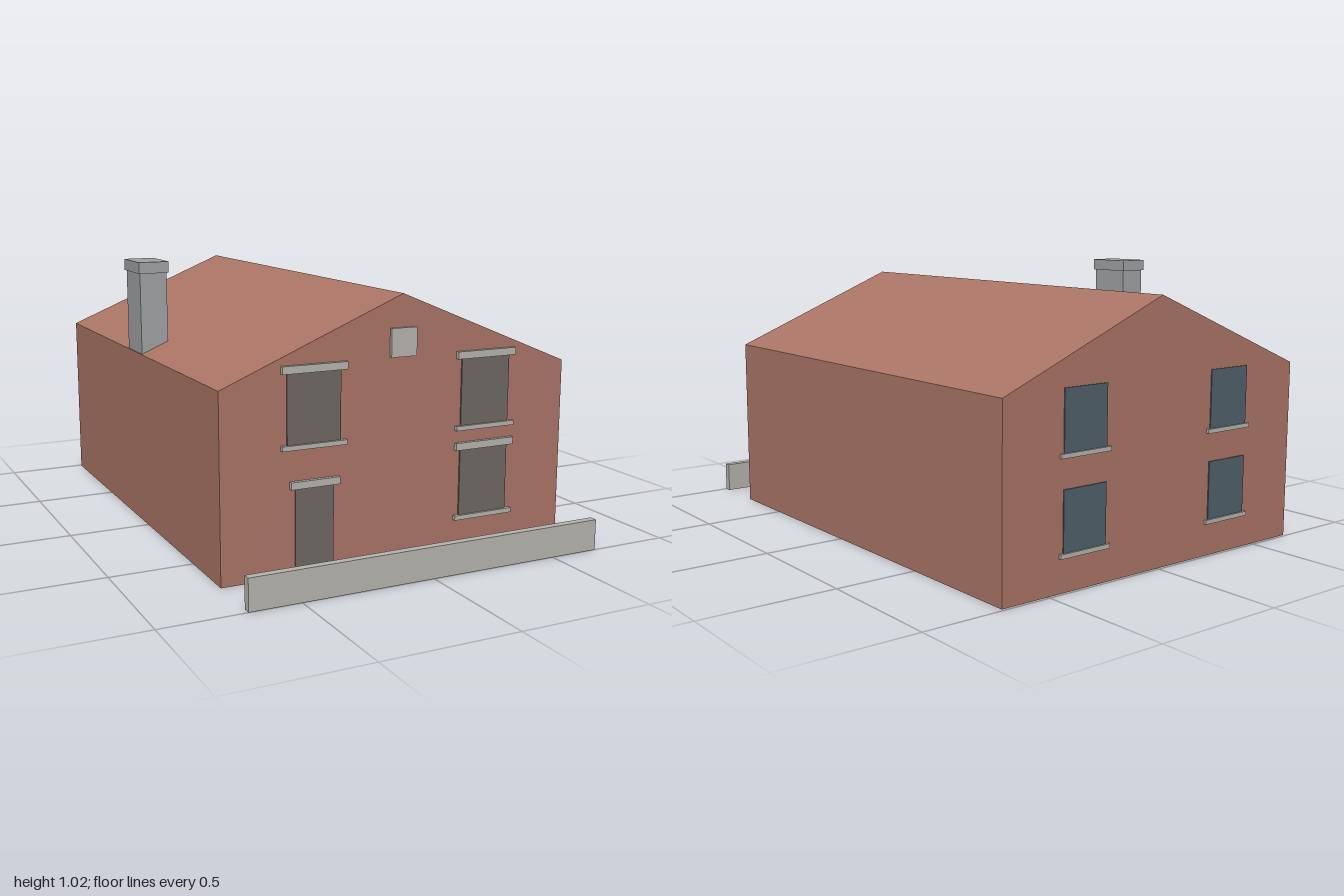
import * as THREE from 'three';

const mat = (color) => new THREE.MeshStandardMaterial({ color, flatShading: true });

export function createModel() {
  const house = new THREE.Group();
  house.name = 'house';
  const brick = mat(0xab7566), stone = mat(0xb6b5ae), slate = mat(0xa0a2a4);
  const shutter = mat(0x6e6863), glass = mat(0x50616b);

  // Box given by its limits on each axis
  const box = (name, material, [x0, x1], [y0, y1], [z0, z1]) => {
    const mesh = new THREE.Mesh(new THREE.BoxGeometry(x1 - x0, y1 - y0, z1 - z0), material);
    mesh.position.set((x0 + x1) / 2, (y0 + y1) / 2, (z0 + z1) / 2);
    mesh.name = name;
    house.add(mesh);
  };
  const around = (x, width) => [x - width / 2, x + width / 2];

  // Gabled body: end profile pushed from back to front
  const back = -0.99, front = 0.765;
  const gable = new THREE.Shape([[-0.69, 0], [0.69, 0], [0.69, 0.672], [0, 0.956], [-0.69, 0.672]]
    .map(([x, y]) => new THREE.Vector2(x, y)));
  const bodyGeometry = new THREE.ExtrudeGeometry(gable, { depth: front - back, bevelEnabled: false });
  bodyGeometry.translate(0, 0, back);
  const body = new THREE.Mesh(bodyGeometry, brick);
  body.name = 'gabledBody';
  house.add(body);

  // Front windows with lintel and sill
  const panel = [front - 0.01, 0.771], ledge = [front - 0.01, 0.78];
  for (const [x, y] of [[-0.345, 0.465], [0.345, 0.465], [0.345, 0.13]]) {
    box('frontWindow', shutter, around(x, 0.203), [y, y + 0.245], panel);
    box('frontLintel', stone, around(x, 0.246), [y + 0.245, y + 0.272], ledge);
    box('frontSill', stone, around(x, 0.246), [y - 0.017, y], ledge);
  }

  // Door and gable plaque
  box('door', shutter, around(-0.343, 0.146), [0.015, 0.311], panel);
  box('doorLintel', stone, around(-0.343, 0.186), [0.311, 0.337], ledge);
  box('gablePlaque', stone, around(0, 0.102), [0.736, 0.838], [front - 0.01, 0.777]);

  // Back windows with sills
  for (const x of [-0.345, 0.345]) {
    for (const y of [0.135, 0.468]) {
      box('backWindow', glass, around(x, 0.187), [y, y + 0.213], [-0.994, back + 0.01]);
      box('backSill', stone, around(x, 0.218), [y - 0.016, y], [-1, back + 0.01]);
    }
  }

  // Chimney rising through the left roof slope
  box('chimneyStack', slate, [-0.687, -0.581], [0.6, 0.982], [-0.198, -0.032]);
  box('chimneyCap', slate, [-0.693, -0.575], [0.982, 1.025], [-0.206, -0.024]);

  // Garden wall and path
  box('gardenWall', stone, [-0.69, 0.69], [0, 0.115], [0.97, 1]);
  box('path', stone, around(0, 0.17), [0, 0.015], [front, 0.97]);

  return house;
}
